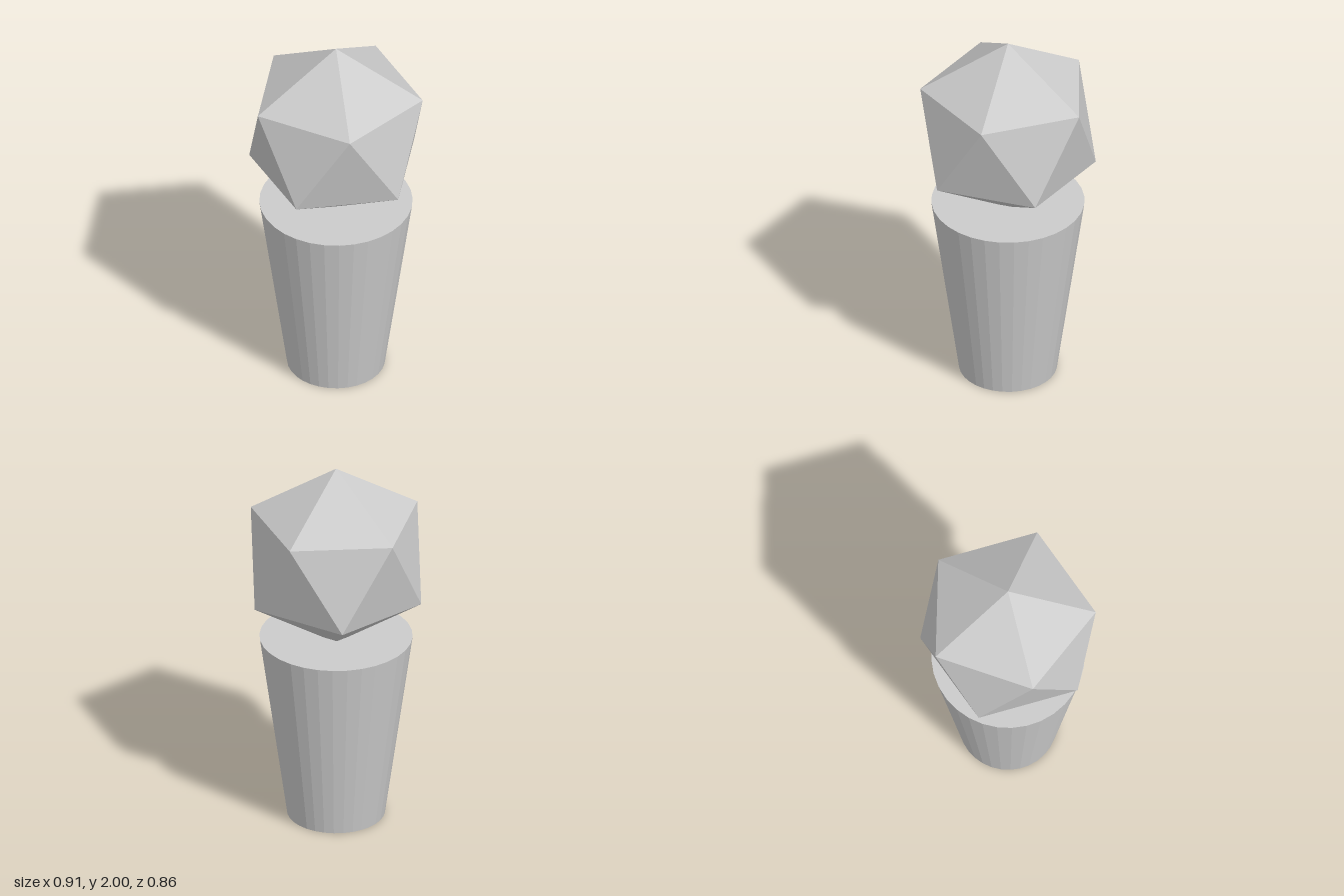
import * as THREE from 'three';

export function createModel() {
  const group = new THREE.Group();
  const material = new THREE.MeshStandardMaterial({ color: 0xcccccc, flatShading: true, side: THREE.DoubleSide });

  const add = (name, geometry, y) => {
    const mesh = new THREE.Mesh(geometry, material);
    mesh.name = name;
    mesh.position.y = y;
    group.add(mesh);
  };

  const height = 1.025, topRadius = 0.397, baseRadius = 0.254, sides = 32;

  // Tapered cup wall, open underneath
  add('cupWall', new THREE.CylinderGeometry(topRadius, baseRadius, height, sides, 1, true), height / 2);

  // Flat lid closing the rim (turned so its corners meet the wall's)
  add('cupLid', new THREE.CircleGeometry(topRadius, sides).rotateX(-Math.PI / 2), height);

  // Icosahedron standing on one corner, its tip sunk slightly into the lid
  const radius = 0.508;
  const tilt = Math.atan(2 / (1 + Math.sqrt(5)));
  add('gem', new THREE.IcosahedronGeometry(radius, 0).rotateZ(-tilt), 2 - radius);

  return group;
}
